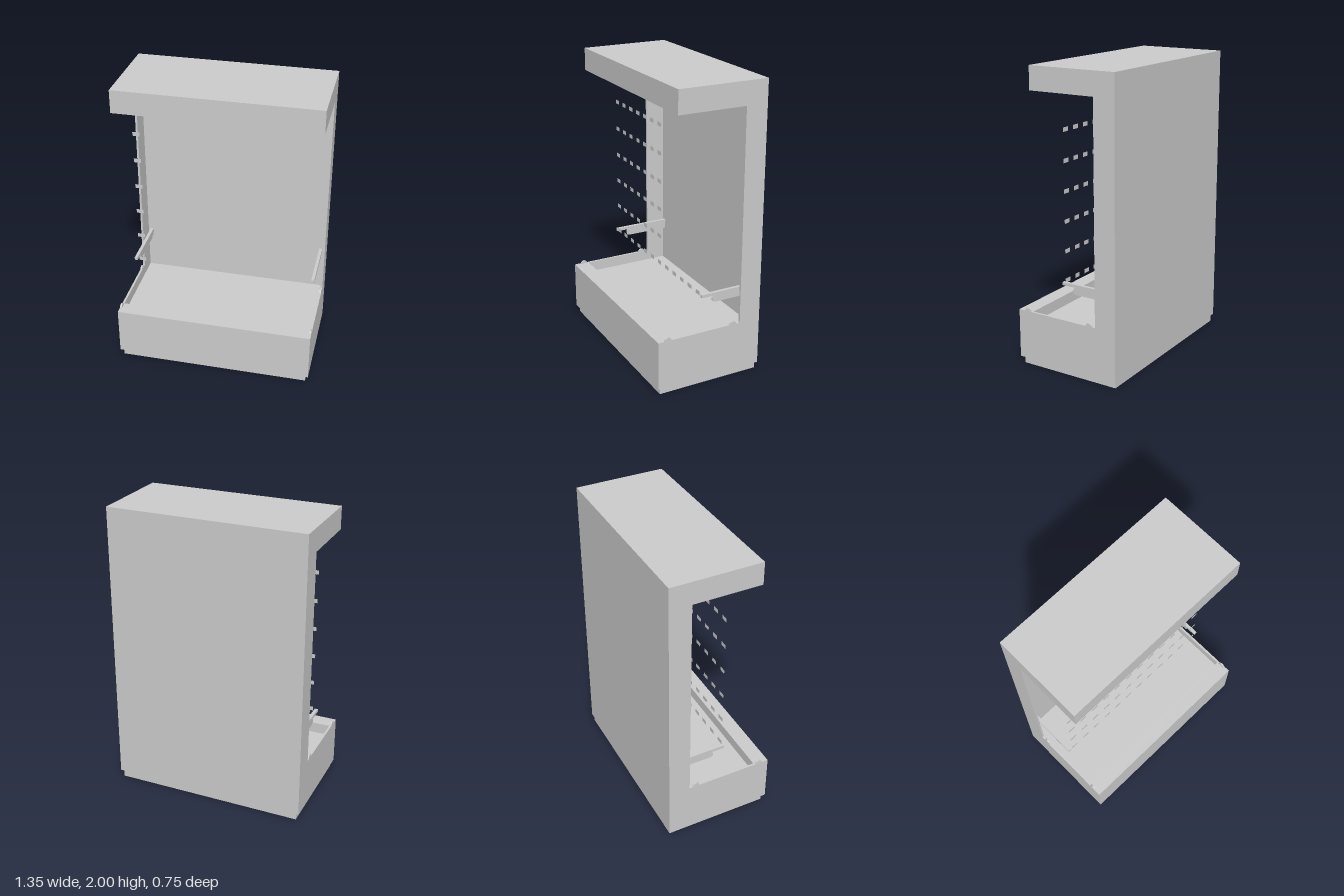
import * as THREE from 'three';

export function createModel() {
  const root = new THREE.Group();
  const mat = new THREE.MeshStandardMaterial({ color: 0xcccccc });
  const thin = new THREE.MeshStandardMaterial({ color: 0xcccccc, side: THREE.DoubleSide });

  const add = (name, geo, m = mat) => {
    const mesh = new THREE.Mesh(geo, m);
    mesh.name = name;
    root.add(mesh);
    return mesh;
  };
  // Box given by its limits on each axis
  const box = (name, x0, x1, y0, y1, z0, z1) =>
    add(name, new THREE.BoxGeometry(x1 - x0, y1 - y0, z1 - z0)
      .translate((x0 + x1) / 2, (y0 + y1) / 2, (z0 + z1) / 2));
  // Shape drawn in (z, y), extruded along x and centred on x
  const sidePlate = (name, shape, width, x) => {
    const geo = new THREE.ExtrudeGeometry(shape, { depth: width, bevelEnabled: false, curveSegments: 8 });
    geo.translate(0, 0, -width / 2).rotateY(-Math.PI / 2).scale(1, 1, 1);
    return add(name, geo.translate(x, 0, 0));
  };

  const W = 0.675, T = 0.015, I = W - T;   // half width, wall thickness, inner half width
  const back = -0.375, front = 0.375;

  // C-shaped side walls
  const cShape = new THREE.Shape([
    [back, 0.05], [front, 0.05], [front, 0.385], [-0.225, 0.385],
    [-0.225, 1.845], [0.245, 1.845], [0.245, 2], [back, 2],
  ].map(([z, y]) => new THREE.Vector2(z, y)));

  // Shelf bracket web with a rounded lower front corner
  const web = new THREE.Shape();
  web.moveTo(-0.36, 0.56);
  web.lineTo(-0.06, 0.56);
  web.quadraticCurveTo(-0.035, 0.56, -0.035, 0.585);
  web.quadraticCurveTo(-0.035, 0.595, -0.048, 0.61);
  web.lineTo(-0.36, 0.61);
  web.closePath();

  for (const s of [-1, 1]) {
    const side = s > 0 ? 'left' : 'right';
    sidePlate(side + 'SideWall', cShape, T, s * (W - T / 2));
    sidePlate(side + 'BracketWeb', web, 0.01, s * 0.632);
    box(side + 'BracketTop', s * 0.632 - 0.011, s * 0.632 + 0.011, 0.61, 0.63, -0.36, 0.045);
    // Rounded pads on the side rim
    for (const z of [0.305, -0.175]) {
      add(side + 'RimPad', new THREE.CylinderGeometry(0.025, 0.025, T - 0.002, 24)
        .rotateZ(Math.PI / 2).translate(s * (W - T / 2), 0.38, z));
    }
  }

  // Cabinet shell
  box('backPanel', -I, I, 0.05, 2, back, back + T);
  box('canopyTop', -I, I, 1.98, 2, back + T, 0.245);
  box('canopyFront', -I, I, 1.845, 1.98, 0.23, 0.245);
  box('basinFloor', -I, I, 0.05, 0.31, back + T, 0.27);
  box('basinFront', -I, I, 0.05, 0.385, 0.27, front);

  // Hollow plinth frame
  box('plinthFront', -0.655, 0.655, 0, 0.05, 0.34, 0.355);
  box('plinthBack', -0.655, 0.655, 0, 0.05, -0.365, -0.35);
  for (const s of [-1, 1]) {
    box('plinthSide', s * 0.6475 - 0.0075, s * 0.6475 + 0.0075, 0, 0.05, -0.35, 0.34);
  }

  // Price tags: six upright rows and one row lying on the basin rim
  const tag = new THREE.PlaneGeometry(0.05, 0.028);
  for (let c = 0; c < 12; c++) {
    const x = -0.583 + c * 0.106;
    for (let r = 0; r < 6; r++) {
      add('priceTag', tag, thin).position.set(x, 0.628 + r * 0.1965, 0.043);
    }
    const flat = add('rimTag', tag, thin);
    flat.rotation.x = -Math.PI / 2;
    flat.position.set(x, 0.3865, 0.325);
  }
  return root;
}
